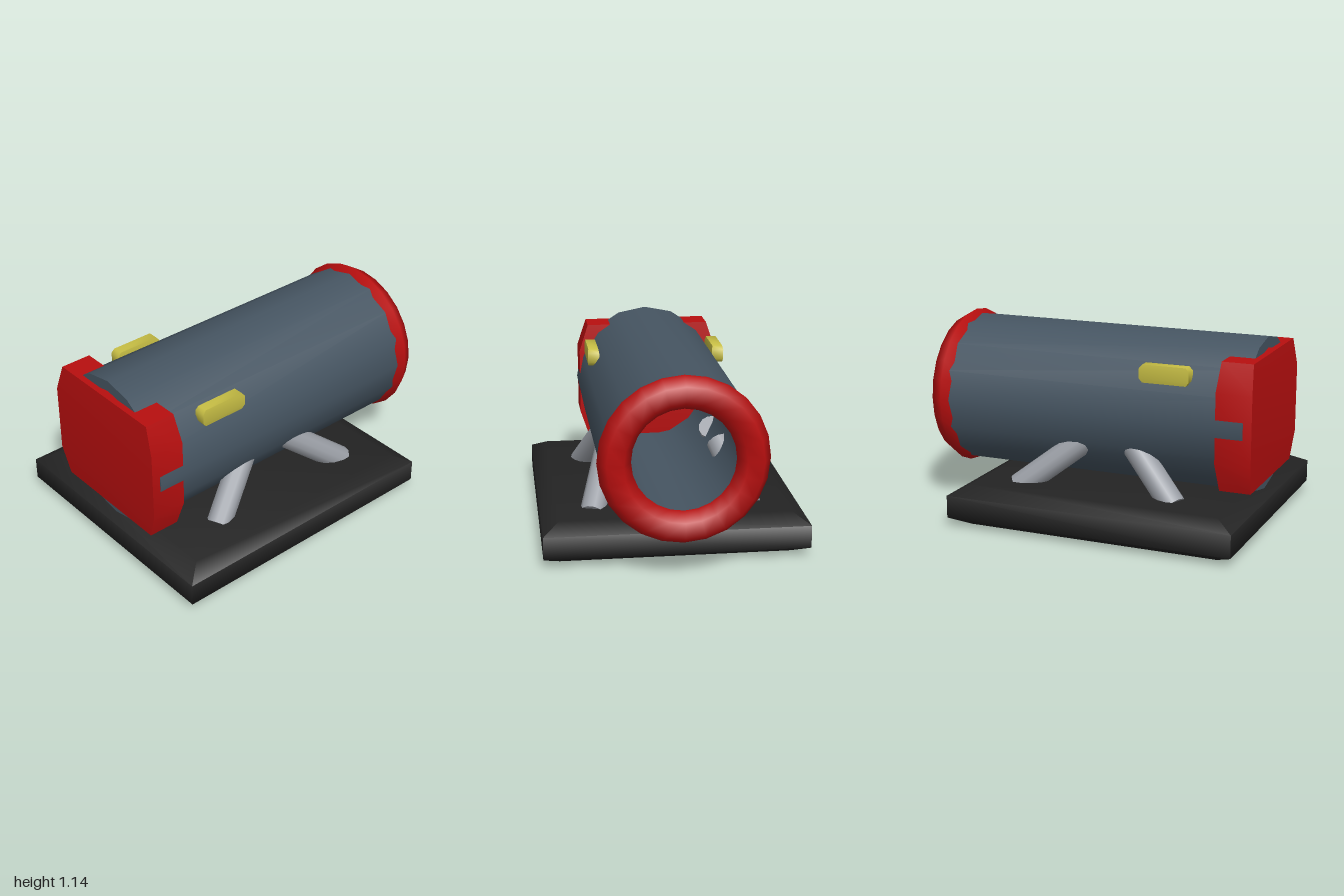
import * as THREE from 'three';
import { toCreasedNormals } from 'three/addons/utils/BufferGeometryUtils.js';

const mat = (name, color) => {
  const m = new THREE.MeshStandardMaterial({ color });
  m.name = name;
  return m;
};

// Block whose top and bottom edges are bevelled, sized by its half extents
function bevelledBlock(hx, hy, hz) {
  const profile = [[0, -1], [0.875, -1], [1, -0.55], [1, 0.55], [0.875, 1], [0, 1]]
    .map(([r, y]) => new THREE.Vector2(r * Math.SQRT2, y));
  const g = new THREE.LatheGeometry(profile, 4);
  g.rotateY(Math.PI / 4);
  g.scale(hx, hy, hz);
  return toCreasedNormals(g, 1.15);
}

export function createModel() {
  const group = new THREE.Group();
  const red = mat('red', 0xb80f0f);
  const slate = mat('slate blue', 0x465562);
  const yellow = mat('yellow', 0xc6bd44);
  const grey = mat('light grey', 0x9a9ea5);
  const black = mat('black', 0x232323);

  const add = (name, geometry, material, x = 0, y = 0, z = 0) => {
    const mesh = new THREE.Mesh(geometry, material);
    mesh.name = name;
    mesh.position.set(x, y, z);
    group.add(mesh);
    return mesh;
  };

  const axisY = 0.67;

  // Floor slab
  add('base', bevelledBlock(0.76, 0.12, 0.865), black, 0, 0.12, 0.135);

  // Hollow barrel lying along z
  const wall = [[0.385, -0.93], [0.45, -0.93], [0.45, 0.95], [0.385, 0.95], [0.385, -0.93]]
    .map(([r, z]) => new THREE.Vector2(r, z));
  const barrel = new THREE.LatheGeometry(wall, 16);
  barrel.rotateX(Math.PI / 2);
  add('barrel', toCreasedNormals(barrel, 0.7), slate, 0, axisY, 0);

  // Rim around the open rear end
  add('rearRim', new THREE.TorusGeometry(0.38, 0.093, 6, 24), red, 0, axisY, -0.92);

  // Block closing the front end
  add('frontCap', bevelledBlock(0.44, 0.37, 0.105), red, 0, axisY, 0.895);

  // Splayed struts and side lugs, mirrored left and right
  const up = new THREE.Vector3(0, 1, 0);
  const struts = [['front', 0.56, 0.27], ['rear', -0.41, -0.04]];
  for (const [side, s] of [['left', 1], ['right', -1]]) {
    for (const [end, zLow, zHigh] of struts) {
      const a = new THREE.Vector3(s * 0.46, 0.2, zLow);
      const b = new THREE.Vector3(s * 0.335, 0.49, zHigh);
      const dir = b.clone().sub(a);
      const mid = a.clone().add(b).multiplyScalar(0.5);
      const strut = add(`${side} ${end} strut`,
        new THREE.CylinderGeometry(0.075, 0.075, dir.length(), 12), grey, mid.x, mid.y, mid.z);
      strut.quaternion.setFromUnitVectors(up, dir.normalize());
    }
    add(`${side} lug`, bevelledBlock(0.035, 0.052, 0.148), yellow, s * 0.385, 0.938, 0.477);
  }

  return group;
}
